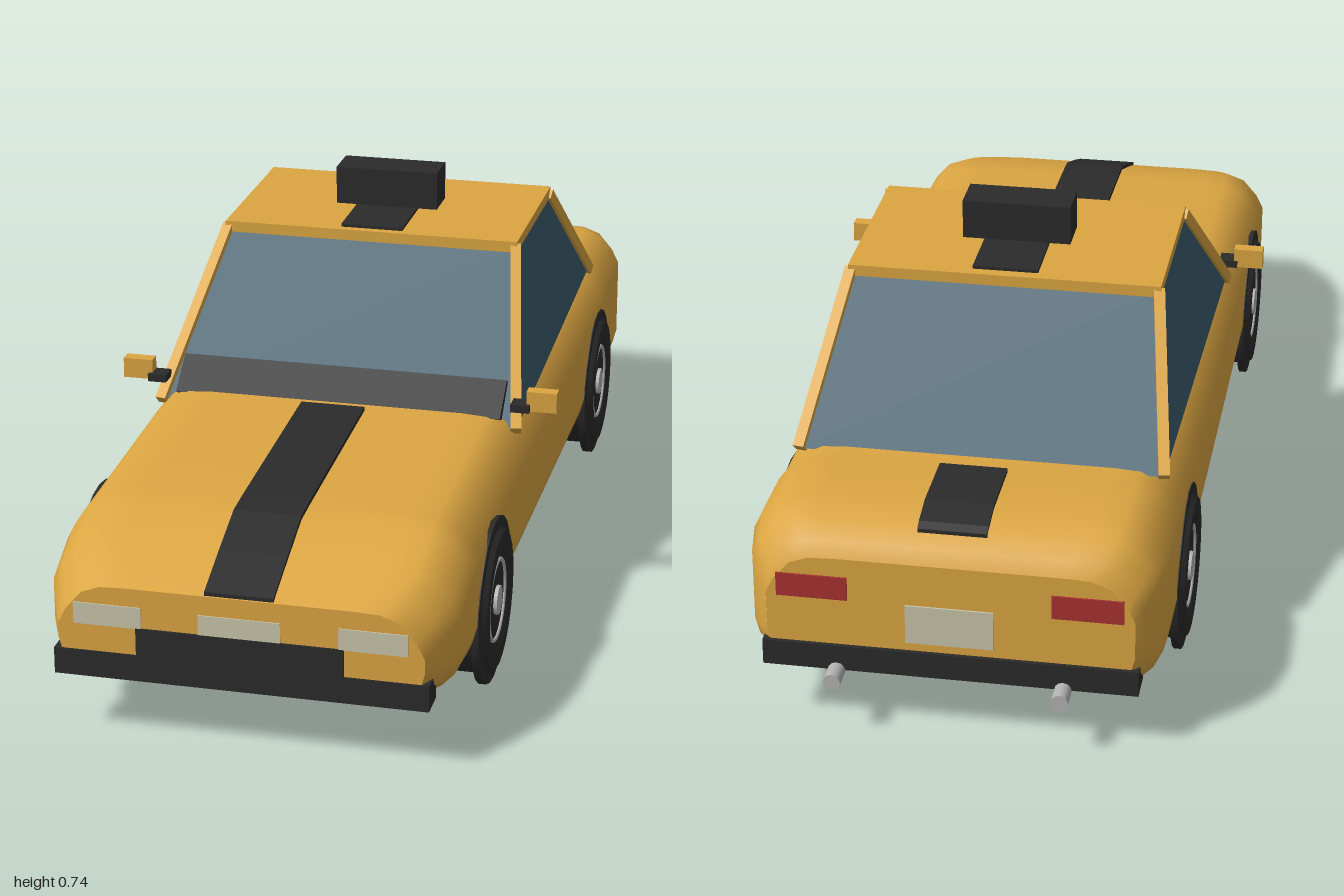
import * as THREE from 'three';
import { toCreasedNormals } from 'three/addons/utils/BufferGeometryUtils.js';

function material(name, color) {
  const m = new THREE.MeshStandardMaterial({ color });
  m.name = name;
  return m;
}

// Body cross-section: half-width w, bottom b, top t, mirrored into a closed ring
function bodySection(w, b, t) {
  const half = [[w - 0.06, b], [w - 0.03, b + 0.012], [w - 0.008, b + 0.035], [w, b + 0.065],
    [w, t - 0.08], [w - 0.015, t - 0.05], [w - 0.045, t - 0.015], [w - 0.08, t - 0.002], [w - 0.13, t]];
  return [[0, b], ...half, [0, t], ...half.map(([x, y]) => [-x, y]).reverse()];
}

function loft(stations) {
  const pos = [], index = [];
  const rings = stations.map(([, w, b, t]) => bodySection(w, b, t));
  const n = rings[0].length;
  rings.forEach((ring, i) => ring.forEach(([x, y]) => pos.push(x, y, stations[i][0])));
  for (let i = 0; i < rings.length - 1; i++) {
    for (let j = 0; j < n; j++) {
      const a = i * n + j, b = i * n + (j + 1) % n;
      index.push(a, a + n, b, b, a + n, b + n);
    }
  }
  const g = new THREE.BufferGeometry();
  g.setAttribute('position', new THREE.Float32BufferAttribute(pos, 3));
  g.setIndex(index);
  g.computeVertexNormals();
  return g;
}

// Extrude a side-view outline of [z, y] points across the car
function acrossCar(points, halfWidth) {
  const shape = new THREE.Shape(points.map(([z, y]) => new THREE.Vector2(z, y)));
  const g = new THREE.ExtrudeGeometry(shape, { depth: halfWidth * 2, bevelEnabled: false });
  return g.rotateY(-Math.PI / 2).translate(halfWidth, 0, 0);
}

// Thin painted band following a line of [z, y] points
function band(points, halfWidth) {
  const under = points.map(([z, y]) => [z, y - 0.008]).reverse();
  return acrossCar([...points, ...under], halfWidth);
}

function quad(a, b, c, d) {
  const g = new THREE.BufferGeometry();
  g.setAttribute('position', new THREE.Float32BufferAttribute([...a, ...b, ...c, ...a, ...c, ...d], 3));
  g.computeVertexNormals();
  return g;
}

// Square bar between two points
function bar(a, b, thickness) {
  const from = new THREE.Vector3(...a), to = new THREE.Vector3(...b);
  const g = new THREE.BoxGeometry(thickness, thickness, from.distanceTo(to));
  const m = new THREE.Object3D();
  m.position.copy(from).lerp(to, 0.5);
  m.lookAt(to);
  m.updateMatrix();
  return g.applyMatrix4(m.matrix);
}

function box(x0, x1, y0, y1, z0, z1) {
  return new THREE.BoxGeometry(x1 - x0, y1 - y0, z1 - z0)
    .translate((x0 + x1) / 2, (y0 + y1) / 2, (z0 + z1) / 2);
}

export function createModel() {
  const car = new THREE.Group();
  car.name = 'car';
  const paint = material('yellow paint', 0xdca642);
  const black = material('black trim', 0x2b2b2b);
  const glass = material('blue glass', 0x3b5c6c);
  glass.side = THREE.DoubleSide;
  const lamp = material('pale lamp', 0xc9c5aa);
  const red = material('red lamp', 0xa83230);
  const metal = material('silver metal', 0xb4b4b4);
  const add = (name, geometry, mat, parent = car) => {
    const mesh = new THREE.Mesh(geometry, mat);
    mesh.name = name;
    parent.add(mesh);
    return mesh;
  };

  // Body shell: z, half-width, bottom, top
  const stations = [
    [1.0, 0.335, 0.125, 0.296], [0.95, 0.355, 0.115, 0.316], [0.9, 0.375, 0.11, 0.334],
    [0.8, 0.38, 0.11, 0.37], [0.74, 0.38, 0.11, 0.374], [0.28, 0.38, 0.11, 0.392],
    [-0.64, 0.38, 0.11, 0.395], [-0.7, 0.38, 0.11, 0.41], [-0.84, 0.38, 0.11, 0.412],
    [-0.9, 0.37, 0.112, 0.398], [-0.935, 0.35, 0.12, 0.372], [-0.95, 0.335, 0.125, 0.345]];
  add('body', loft(stations), paint);
  const capShape = ([, w, b, t]) => new THREE.ShapeGeometry(
    new THREE.Shape(bodySection(w, b, t).map(([x, y]) => new THREE.Vector2(x, y))));
  add('nose', capShape(stations[0]).translate(0, 0, 0.9995), paint);
  add('tail', capShape(stations[stations.length - 1]).rotateY(Math.PI).translate(0, 0, -0.9495), paint);

  // Cabin: glass panes, pillars and roof
  const frontTop = s => [s * 0.295, 0.64, -0.015], backTop = s => [s * 0.295, 0.64, -0.37];
  const frontBase = s => [s * 0.356, 0.365, 0.28], backBase = s => [s * 0.343, 0.388, -0.635];
  add('windshield', quad(frontBase(-1), frontBase(1), frontTop(1), frontTop(-1)), glass);
  add('rearWindow', quad(backBase(1), backBase(-1), backTop(-1), backTop(1)), glass);
  add('roof', box(-0.3, 0.3, 0.63, 0.652, -0.382, -0.003), paint);
  add('cowl', acrossCar([[0.285, 0.388], [0.215, 0.443], [0.205, 0.435], [0.25, 0.37]], 0.325), black);

  for (const s of [-1, 1]) {
    const side = s > 0 ? 'left' : 'right';
    const pane = [frontBase(s), backBase(s), backTop(s), frontTop(s)];
    add(side + 'SideWindow', quad(...(s > 0 ? pane : pane.reverse())), glass);
    add(side + 'FrontPillar', bar(frontBase(s), frontTop(s), 0.021), paint);
    add(side + 'RearPillar', bar(backBase(s), backTop(s), 0.021), paint);

    // Wing mirrors
    const mirror = new THREE.Group();
    mirror.name = side + 'Mirror';
    car.add(mirror);
    const xs = (a, b) => s > 0 ? [a, b] : [-b, -a];
    add('mirrorHousing', box(...xs(0.375, 0.434), 0.406, 0.446, 0.25, 0.276), paint, mirror);
    add('mirrorStem', box(...xs(0.345, 0.382), 0.405, 0.42, 0.248, 0.286), black, mirror);

    // Lamps and exhausts
    add(side + 'Headlamp', box(...xs(0.18, 0.305), 0.22, 0.261, 0.994, 1.002), lamp);
    add(side + 'TailLamp', box(...xs(0.185, 0.315), 0.262, 0.308, -0.953, -0.945), red);
    add(side + 'Exhaust', new THREE.CylinderGeometry(0.016, 0.016, 0.13, 12)
      .rotateX(Math.PI / 2).translate(s * 0.207, 0.117, -0.935), metal);
  }

  // Stripes and roof sign
  add('hoodStripe', band([[0.998, 0.304], [0.9, 0.342], [0.8, 0.378], [0.74, 0.382], [0.31, 0.4]], 0.063), black);
  add('roofStripe', box(-0.063, 0.063, 0.65, 0.658, -0.36, -0.02), black);
  add('trunkStripe', band([[-0.7, 0.417], [-0.84, 0.419], [-0.895, 0.406], [-0.91, 0.398]], 0.063), black);
  add('roofSign', box(-0.105, 0.105, 0.658, 0.735, -0.235, -0.153), black);

  // Bumpers and plates
  add('frontBumper', box(-0.343, 0.343, 0.118, 0.168, 0.945, 1.003), black);
  add('grille', box(-0.19, 0.19, 0.165, 0.221, 0.994, 1.003), black);
  add('rearBumper', box(-0.343, 0.343, 0.118, 0.168, -0.957, -0.895), black);
  add('frontPlate', box(-0.075, 0.075, 0.215, 0.259, 0.994, 1.002), lamp);
  add('rearPlate', box(-0.08, 0.08, 0.185, 0.262, -0.953, -0.945), lamp);

  // Wheels: tyre with a thin raised flange, rim ring and hub cap
  const tyreProfile = [[0, 0.3], [0.125, 0.3], [0.138, 0.31], [0.138, 0.368], [0.158, 0.368], [0.158, 0.382],
    [0.138, 0.383], [0.13, 0.392], [0.1, 0.392], [0.086, 0.384], [0, 0.384]];
  const tyre = toCreasedNormals(new THREE.LatheGeometry(
    tyreProfile.map(p => new THREE.Vector2(...p)), 24), 0.5).rotateZ(-Math.PI / 2);
  const ring = new THREE.TorusGeometry(0.077, 0.004, 6, 32).rotateY(Math.PI / 2).translate(0.385, 0, 0);
  const cap = new THREE.CylinderGeometry(0.028, 0.028, 0.012, 16).rotateZ(Math.PI / 2).translate(0.385, 0, 0);
  for (const [place, z] of [['front', 0.605], ['rear', -0.555]]) {
    for (const [side, turn] of [['Left', 0], ['Right', Math.PI]]) {
      const wheel = new THREE.Group();
      wheel.name = place + side + 'Wheel';
      wheel.position.set(0, 0.158, z);
      wheel.rotation.y = turn;
      add('tyre', tyre, black, wheel);
      add('rimRing', ring, metal, wheel);
      add('hubCap', cap, metal, wheel);
      car.add(wheel);
    }
  }
  return car;
}
